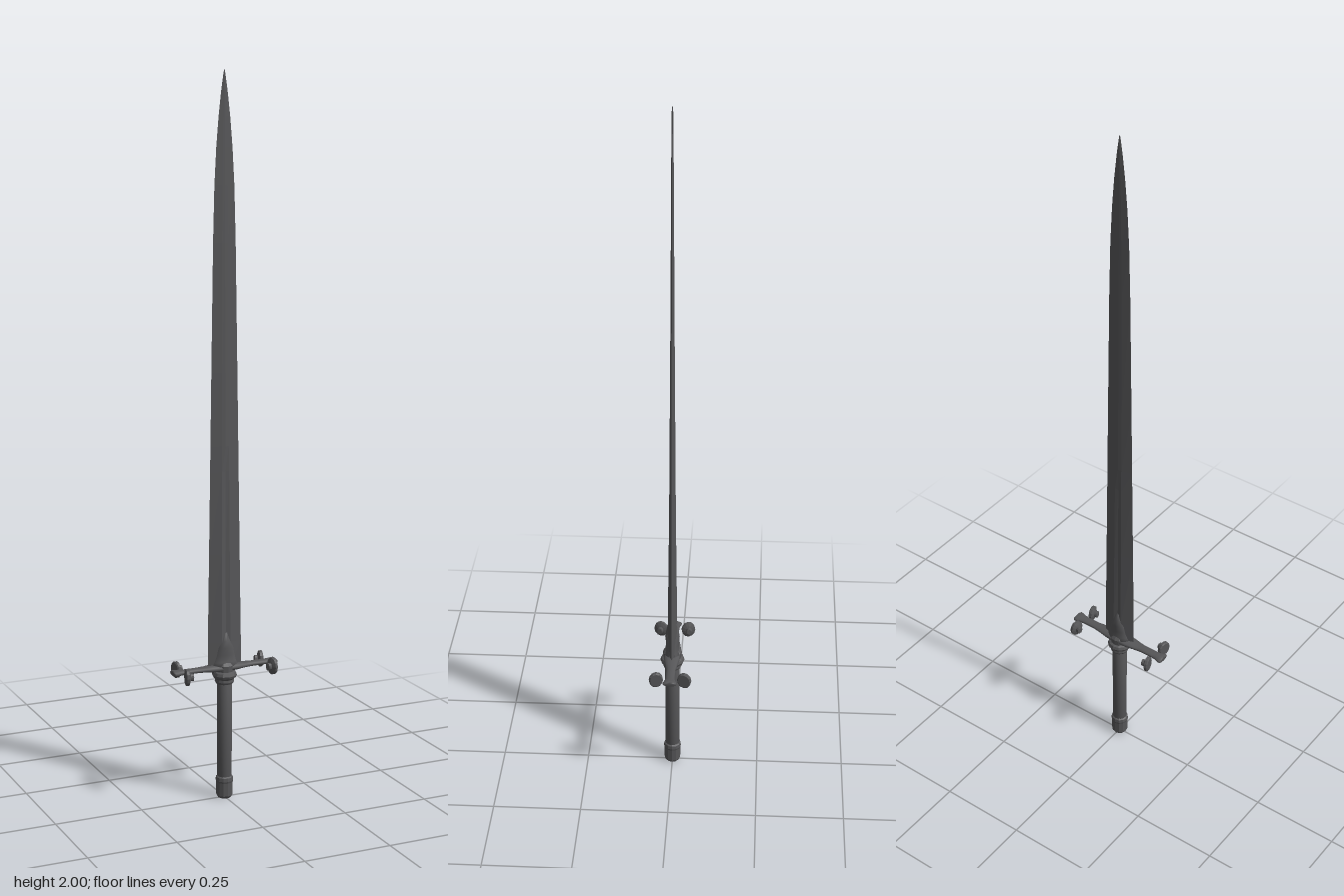
import * as THREE from 'three';

// Skin a closed surface over a list of rings (arrays of [x, y, z]).
function loft(rings, flat) {
  const n = rings[0].length, pos = [], idx = [];
  rings.forEach(r => r.forEach(p => pos.push(...p)));
  for (let i = 0; i < rings.length - 1; i++) {
    for (let j = 0; j < n; j++) {
      const a = i * n + j, b = i * n + (j + 1) % n;
      idx.push(a, a + n, b, b, a + n, b + n);
    }
  }
  // End caps
  const last = (rings.length - 1) * n;
  for (let j = 1; j < n - 1; j++) {
    idx.push(0, j, j + 1, last, last + j + 1, last + j);
  }
  let g = new THREE.BufferGeometry();
  g.setAttribute('position', new THREE.Float32BufferAttribute(pos, 3));
  g.setIndex(idx);
  if (flat) g = g.toNonIndexed();
  g.computeVertexNormals();
  return g;
}

// Ring of points around an ellipse; place(c, s) maps cosine and sine to a point.
function ring(place) {
  return Array.from({ length: 12 }, (_, i) => {
    const a = i / 12 * Math.PI * 2;
    return place(Math.cos(a), Math.sin(a));
  });
}

function lathe(profile, sides) {
  return new THREE.LatheGeometry(profile.map(p => new THREE.Vector2(...p)), sides);
}

export function createModel() {
  const steel = new THREE.MeshStandardMaterial({ color: 0x565658 });
  steel.name = 'darkSteel';
  const facetedSteel = steel.clone();
  facetedSteel.flatShading = true;
  facetedSteel.name = 'darkSteelFaceted';

  const sword = new THREE.Group();
  sword.name = 'sword';
  const add = (name, geometry, material = steel, parent = sword) => {
    const m = new THREE.Mesh(geometry, material);
    m.name = name;
    parent.add(m);
    return m;
  };

  // Blade: [height, half width, half thickness, fuller depth]
  const stations = [
    [0.385, 0.05, 0.017, 0.2], [0.45, 0.05, 0.0155, 0.35], [0.7, 0.046, 0.012, 0.35],
    [0.93, 0.0425, 0.0095, 0.3], [1.0, 0.0415, 0.0085, 0], [1.2, 0.0385, 0.0068, 0],
    [1.55, 0.033, 0.0048, 0], [1.7, 0.029, 0.004, 0], [1.8, 0.0235, 0.0035, 0],
    [1.88, 0.0168, 0.003, 0], [1.95, 0.0088, 0.0025, 0], [1.985, 0.0036, 0.002, 0], [2, 0.001, 0.001, 0],
  ];
  add('blade', loft(stations.map(([y, w, t, d]) => [
    [w, y, 0], [w * 0.25, y, t * 0.85], [0, y, t * (1 - d)], [-w * 0.25, y, t * 0.85],
    [-w, y, 0], [-w * 0.25, y, -t * 0.85], [0, y, -t * (1 - d)], [w * 0.25, y, -t * 0.85],
  ]), true), facetedSteel);

  // Swelling that joins the blade to the guard: [height, half width, half depth]
  const root = [
    [0.378, 0.042, 0.024], [0.395, 0.036, 0.019], [0.415, 0.03, 0.0185],
    [0.437, 0.025, 0.021], [0.455, 0.018, 0.018], [0.478, 0.007, 0.013],
  ];
  add('bladeRoot', loft(root.map(([y, w, t]) => ring((c, s) => [w * c, y, t * s]))));

  // Crossguard: [x, half height, half depth], mirrored about the middle
  const half = [
    [0.156, 0.006, 0.017], [0.153, 0.008, 0.02], [0.145, 0.008, 0.019], [0.134, 0.0075, 0.0145],
    [0.12, 0.007, 0.0135], [0.085, 0.007, 0.0135], [0.06, 0.0075, 0.0175], [0.035, 0.01, 0.022],
  ];
  const bar = [...half.map(([x, h, d]) => [-x, h, d]), [0, 0.012, 0.024], ...half.slice().reverse()];
  add('crossguard', loft(bar.map(([x, h, d]) => ring((c, s) => [x, 0.378 + h * c, -d * s]))));

  // Four small scroll knobs beside the guard ends, each with a boss facing inward
  const knob = lathe([
    [0, -0.0065], [0.017, -0.0065], [0.02, -0.004], [0.02, 0.003], [0.013, 0.0065],
    [0.009, 0.008], [0.009, 0.016], [0.007, 0.017], [0, 0.017],
  ], 12);
  for (const sx of [-1, 1]) {
    for (const sz of [-1, 1]) {
      const scroll = new THREE.Group();
      scroll.position.set(sx * 0.128, 0.375, sz * 0.04);
      scroll.rotation.y = sx * sz * 0.22;
      sword.add(scroll);
      const name = `guardScroll${sx > 0 ? 'Left' : 'Right'}${sz > 0 ? 'Front' : 'Back'}`;
      const disc = add(name, knob, facetedSteel, scroll);
      disc.rotation.z = sx * Math.PI / 2;
      disc.scale.x = 1.18; // taller than deep
    }
  }

  // Ringed collar under the guard
  add('collar', lathe([
    [0, 0.332], [0.024, 0.332], [0.027, 0.338], [0.026, 0.345], [0.032, 0.35],
    [0.035, 0.357], [0.032, 0.365], [0.026, 0.368], [0.027, 0.385], [0.018, 0.396], [0, 0.396],
  ], 12), facetedSteel);

  // Grip
  add('grip', lathe([[0, 0.05], [0.02, 0.05], [0.021, 0.2], [0.021, 0.335], [0, 0.335]], 16));

  // Pommel cap
  add('pommel', lathe([
    [0, 0], [0.018, 0], [0.023, 0.007], [0.0235, 0.045], [0.025, 0.05], [0.024, 0.06], [0.019, 0.064], [0, 0.064],
  ], 12), facetedSteel);

  return sword;
}
